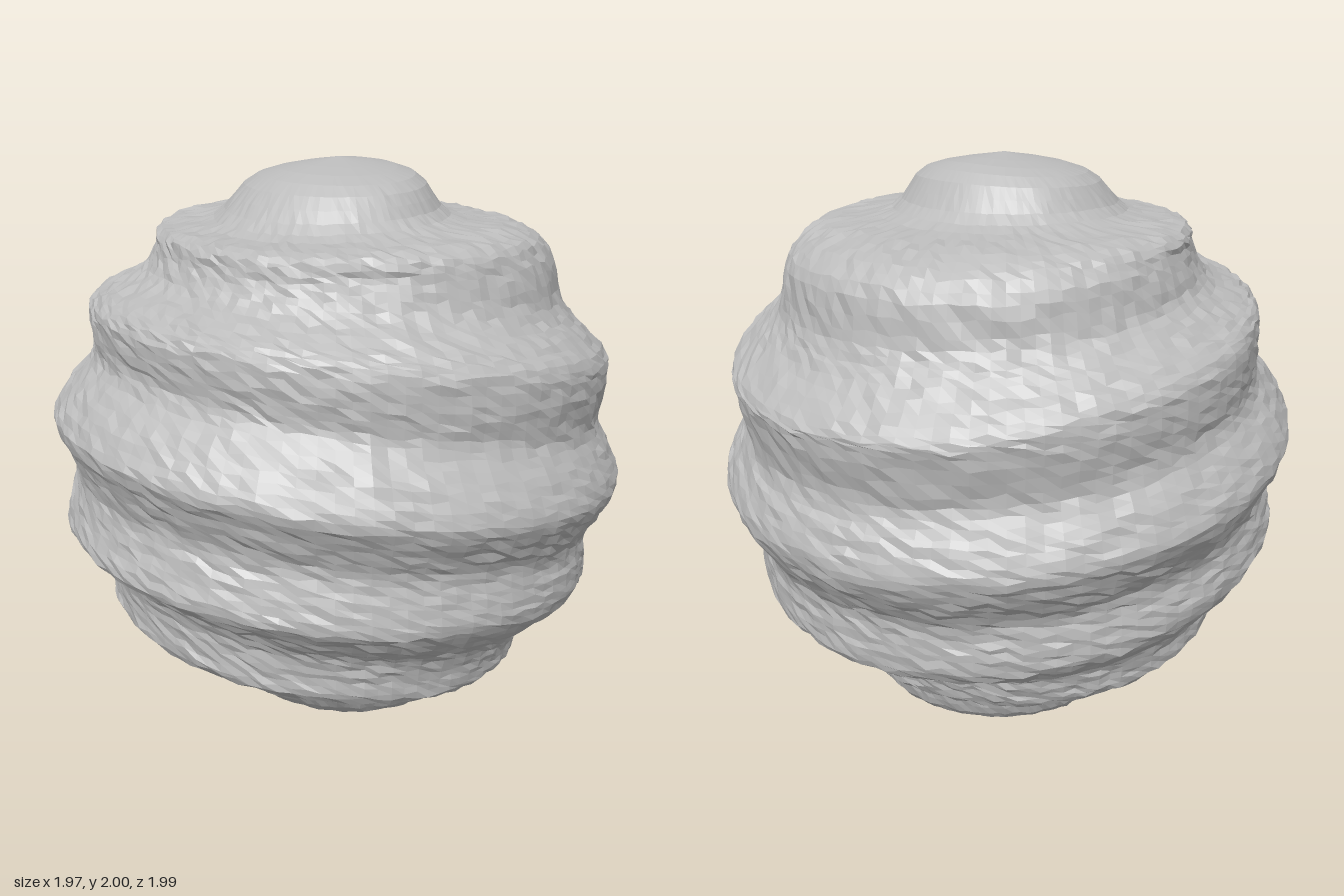
import * as THREE from 'three';

// Outline [radius, height] from the top to the bottom, on three sides of the ball.
// Matching entries lie on the same ridge or valley, so the ridges run round as tilted rings.
const leftSide = [
  [0, 2], [0.23, 1.96], [0.36, 1.82], [0.58, 1.78], [0.73, 1.7], [0.77, 1.53], [0.82, 1.44],
  [0.93, 1.32], [0.94, 1.27], [0.91, 1.1], [0.95, 1.0], [0.98, 0.9], [0.94, 0.8], [0.88, 0.7],
  [0.875, 0.6], [0.865, 0.51], [0.78, 0.46], [0.66, 0.4], [0.63, 0.33], [0.6, 0.265],
  [0.53, 0.23], [0.48, 0.11], [0.29, 0.045], [0, 0],
];
const rightSide = [
  [0, 2], [0.26, 1.945], [0.42, 1.81], [0.58, 1.785], [0.61, 1.72], [0.66, 1.65], [0.78, 1.6],
  [0.83, 1.56], [0.835, 1.48], [0.835, 1.39], [0.92, 1.3], [0.985, 1.2], [0.955, 1.1], [0.93, 1.0],
  [0.955, 0.9], [0.975, 0.81], [0.9, 0.74], [0.85, 0.66], [0.84, 0.57], [0.82, 0.48],
  [0.6, 0.34], [0.44, 0.15], [0.29, 0.06], [0, 0],
];
const frontAndBack = [
  [0, 2], [0.28, 1.945], [0.4, 1.825], [0.61, 1.785], [0.66, 1.71], [0.71, 1.595], [0.815, 1.52],
  [0.88, 1.465], [0.89, 1.36], [0.89, 1.245], [0.955, 1.14], [0.995, 1.045], [0.955, 0.945], [0.915, 0.85],
  [0.93, 0.76], [0.93, 0.675], [0.86, 0.58], [0.78, 0.51], [0.75, 0.42], [0.725, 0.335],
  [0.535, 0.25], [0.45, 0.11], [0.28, 0.045], [0, 0],
];

// Repeatable roughness between -1 and 1
function rough(i, j) {
  const s = Math.sin(i * 127.1 + j * 311.7) * 43758.5453;
  return (s - Math.floor(s)) * 2 - 1;
}

// Smooth outline for one direction around the ball
function outlineAt(angle) {
  const c = Math.cos(angle);
  const c2 = Math.cos(2 * angle);
  const wLeft = 0.25 + c / 2 + c2 / 4;
  const wRight = 0.25 - c / 2 + c2 / 4;
  const wFront = 0.5 - c2 / 2;
  const points = frontAndBack.map((f, k) => new THREE.Vector2(
    leftSide[k][0] * wLeft + rightSide[k][0] * wRight + f[0] * wFront,
    leftSide[k][1] * wLeft + rightSide[k][1] * wRight + f[1] * wFront,
  ));
  return new THREE.SplineCurve(points);
}

export function createModel() {
  const around = 112;
  const down = (frontAndBack.length - 1) * 4;
  const stone = new THREE.MeshStandardMaterial({ color: 0xbcbcbc, flatShading: true });
  stone.name = 'paleGrey';

  // Reshape a sphere column by column to the ridged outline
  const geometry = new THREE.SphereGeometry(1, around, down);
  const position = geometry.attributes.position;
  for (let i = 0; i <= around; i++) {
    const column = i % around;
    const angle = Math.PI - (column / around) * Math.PI * 2;
    const outline = outlineAt(angle);
    for (let j = 0; j <= down; j++) {
      const p = outline.getPoint(j / down);
      const fade = Math.min(1, Math.max(0, (p.x - 0.25) * 3));
      const r = Math.max(0, p.x + rough(column, j) * 0.005 * fade);
      const y = p.y + rough(column + 0.5, j + 9) * 0.007 * fade;
      position.setXYZ(j * (around + 1) + i, r * Math.cos(angle), y, r * Math.sin(angle));
    }
  }
  geometry.computeVertexNormals();

  const ball = new THREE.Mesh(geometry, stone);
  ball.name = 'ridgedBall';
  const model = new THREE.Group();
  model.name = 'ridgedBoulder';
  model.add(ball);
  return model;
}
